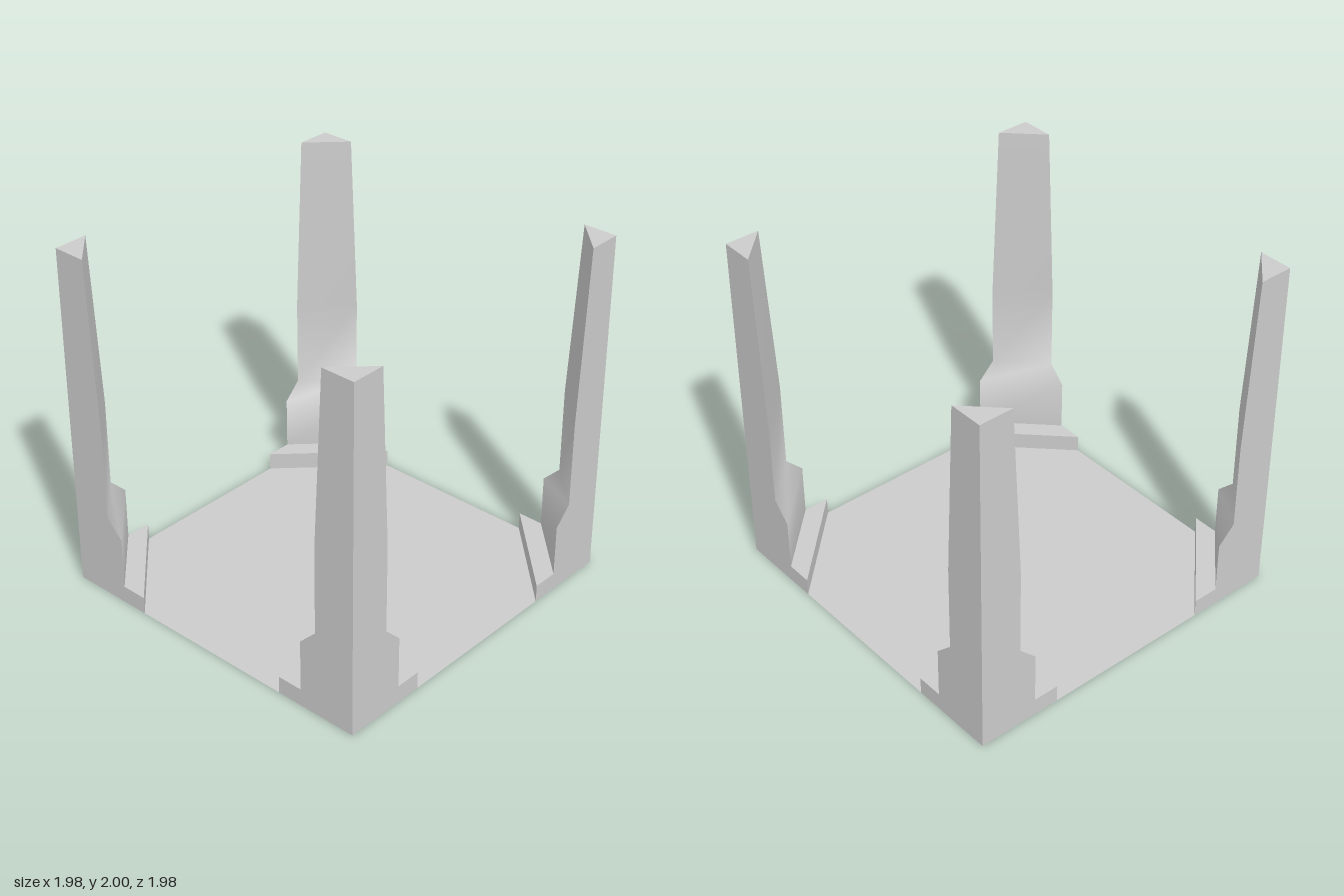
import * as THREE from 'three';
import { toCreasedNormals } from 'three/addons/utils/BufferGeometryUtils.js';

const HALF = 0.99;

// Post profile: [height, leg length of the triangular section]
const PROFILE = [
  [0, 0.495], [0.1, 0.495], [0.1, 0.345], [0.4, 0.345],
  [0.5, 0.245], [1, 0.245], [2, 0.195],
];

// Triangular section in the +x +z corner, counter-clockwise from above
const section = ([y, w]) => [
  [HALF - w, y, HALF], [HALF, y, HALF], [HALF, y, HALF - w],
];

function postGeometry() {
  const rings = PROFILE.map(section);
  const pos = [];
  const tri = (a, b, c) => pos.push(...a, ...b, ...c);
  for (let i = 0; i < rings.length - 1; i++) {
    const lo = rings[i], hi = rings[i + 1];
    const ledge = PROFILE[i][0] === PROFILE[i + 1][0];
    for (let j = 0; j < 3; j++) {
      // on a flat ledge only the diagonal side has any area
      if (ledge && j < 2) continue;
      const k = (j + 1) % 3;
      tri(lo[j], lo[k], hi[k]);
      tri(lo[j], hi[k], hi[j]);
    }
  }
  tri(...rings[rings.length - 1]); // top cap
  const geo = new THREE.BufferGeometry();
  geo.setAttribute('position', new THREE.Float32BufferAttribute(pos, 3));
  return toCreasedNormals(geo, 0.75);
}

export function createModel() {
  const model = new THREE.Group();
  model.name = 'corneredPlatform';
  const material = new THREE.MeshStandardMaterial({ color: 0xcccccc });
  const thin = new THREE.MeshStandardMaterial({ color: 0xcccccc, side: THREE.DoubleSide });

  // Thin square floor
  const floor = new THREE.Mesh(new THREE.PlaneGeometry(2 * HALF, 2 * HALF), thin);
  floor.name = 'floor';
  floor.rotation.x = -Math.PI / 2;
  model.add(floor);

  // One stepped, tapering post per corner
  const geo = postGeometry();
  ['frontLeftPost', 'backLeftPost', 'backRightPost', 'frontRightPost'].forEach((name, i) => {
    const post = new THREE.Mesh(geo, material);
    post.name = name;
    post.rotation.y = i * Math.PI / 2;
    model.add(post);
  });
  return model;
}
